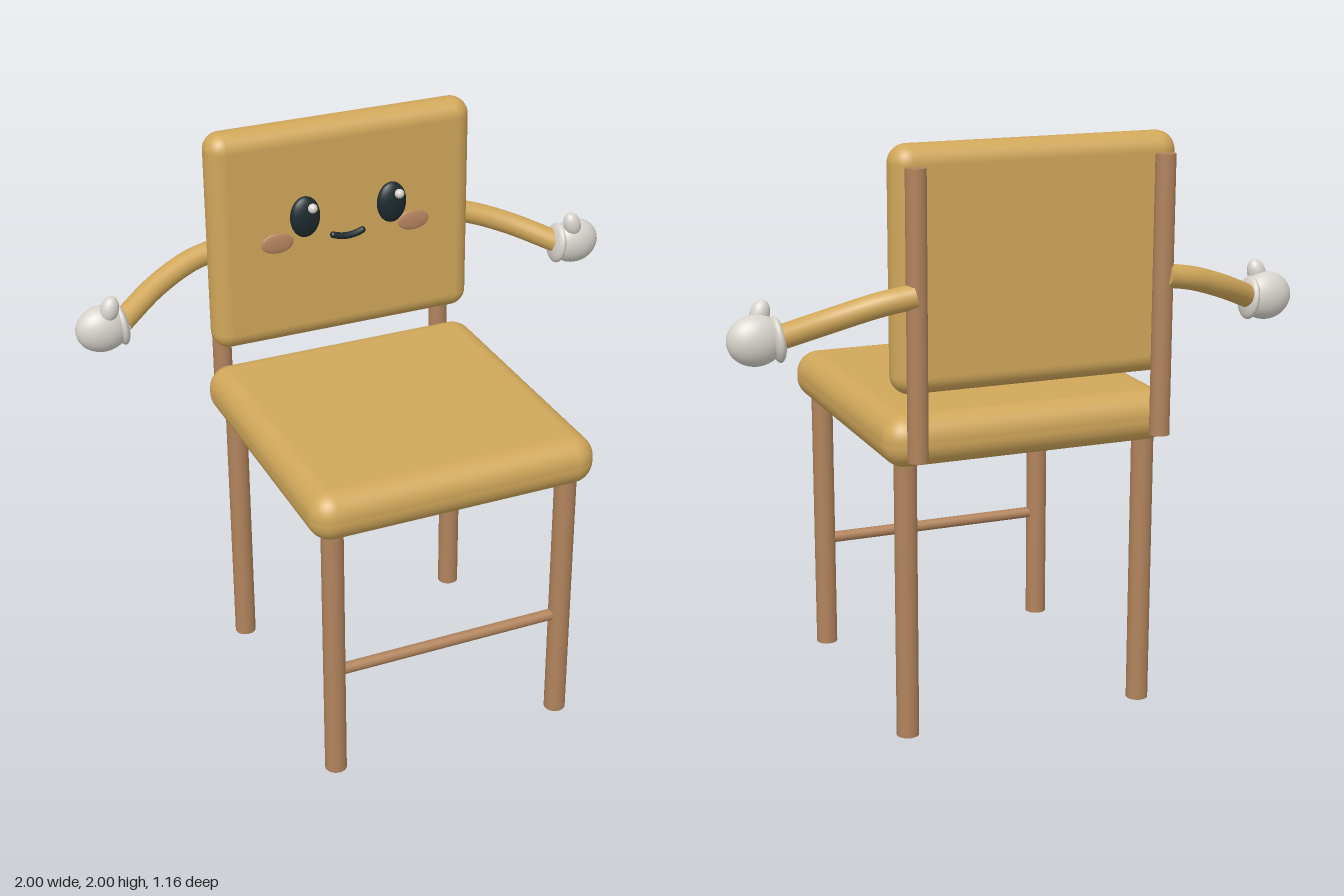
import * as THREE from 'three';
import { RoundedBoxGeometry } from 'three/addons/geometries/RoundedBoxGeometry.js';

const mat = (name, color) => {
  const m = new THREE.MeshStandardMaterial({ color });
  m.name = name;
  return m;
};

export function createModel() {
  const cushion = mat('cushion yellow', 0xd0a75a);
  const wood = mat('wood brown', 0xb0835c);
  const blush = mat('blush', 0xb98660);
  const glove = mat('glove white', 0xd8d4cc);
  const dark = mat('face dark', 0x1d2a2d);

  const model = new THREE.Group();
  model.name = 'chair';

  const add = (name, geo, material, x = 0, y = 0, z = 0, parent = model) => {
    const mesh = new THREE.Mesh(geo, material);
    mesh.name = name;
    mesh.position.set(x, y, z);
    parent.add(mesh);
    return mesh;
  };
  const ball = (name, material, pos, scale, parent) => {
    const mesh = add(name, new THREE.SphereGeometry(1, 32, 20), material, ...pos, parent);
    mesh.scale.set(...scale);
    return mesh;
  };

  // Seat and backrest
  add('seat', new RoundedBoxGeometry(1.03, 0.175, 1.075, 8, 0.08), cushion, 0, 1.037, 0.037);
  add('backrest', new RoundedBoxGeometry(0.98, 0.8, 0.13, 8, 0.062), cushion, 0, 1.6, -0.455);

  // Legs and back posts
  const legGeo = new THREE.CylinderGeometry(0.038, 0.038, 1.0, 24);
  const postGeo = new THREE.CylinderGeometry(0.034, 0.034, 0.94, 24);
  for (const side of [-1, 1]) {
    add('frontLeg', legGeo, wood, side * 0.428, 0.5, 0.492);
    add('backLeg', legGeo, wood, side * 0.428, 0.5, -0.41);
    add('backPost', postGeo, wood, side * 0.428, 1.465, -0.535);
  }
  const stretcher = add('frontStretcher', new THREE.CylinderGeometry(0.02, 0.02, 0.82, 20), wood, 0, 0.407, 0.492);
  stretcher.rotation.z = Math.PI / 2;

  // Face
  for (const side of [-1, 1]) {
    ball('eye', dark, [side * 0.163, 1.682, -0.364], [0.055, 0.075, 0.028]);
    ball('eyeHighlight', glove, [side * 0.163 + 0.018, 1.72, -0.336], [0.017, 0.017, 0.017]);
    ball('cheek', blush, [side * 0.258, 1.588, -0.389], [0.06, 0.037, 0.008]);
  }
  const smile = new THREE.QuadraticBezierCurve3(
    new THREE.Vector3(-0.055, 1.591, -0.374),
    new THREE.Vector3(0, 1.568, -0.374),
    new THREE.Vector3(0.055, 1.591, -0.374));
  add('mouth', new THREE.TubeGeometry(smile, 20, 0.012, 12), dark);
  for (const side of [-1, 1]) ball('mouthEnd', dark, [side * 0.055, 1.591, -0.374], [0.012, 0.012, 0.012]);

  // Arms with gloved hands
  for (const side of [-1, 1]) {
    const arm = new THREE.Group();
    arm.name = side > 0 ? 'leftArm' : 'rightArm';
    model.add(arm);
    const path = new THREE.CatmullRomCurve3([
      [0.435, 1.535, -0.542], [0.54, 1.515, -0.525], [0.68, 1.468, -0.475], [0.835, 1.402, -0.385],
    ].map(([x, y, z]) => new THREE.Vector3(side * x, y, z)));
    add('sleeve', new THREE.TubeGeometry(path, 28, 0.04, 20), cushion, 0, 0, 0, arm);

    // Closed inner end of the sleeve
    const cap = add('sleeveEnd', new THREE.CircleGeometry(0.04, 20), cushion, 0, 0, 0, arm);
    const start = path.getPointAt(0);
    cap.position.copy(start);
    cap.lookAt(start.clone().sub(path.getTangentAt(0)));

    ball('hand', glove, [side * 0.905, 1.398, -0.373], [0.094, 0.083, 0.062], arm);
    const cuff = ball('cuff', glove, [side * 0.838, 1.397, -0.381], [0.024, 0.075, 0.064], arm);
    cuff.rotation.z = side * -0.12;
    const thumb = ball('thumb', glove, [side * 0.883, 1.475, -0.348], [0.032, 0.048, 0.03], arm);
    thumb.rotation.z = side * 0.3;
  }
  return model;
}
